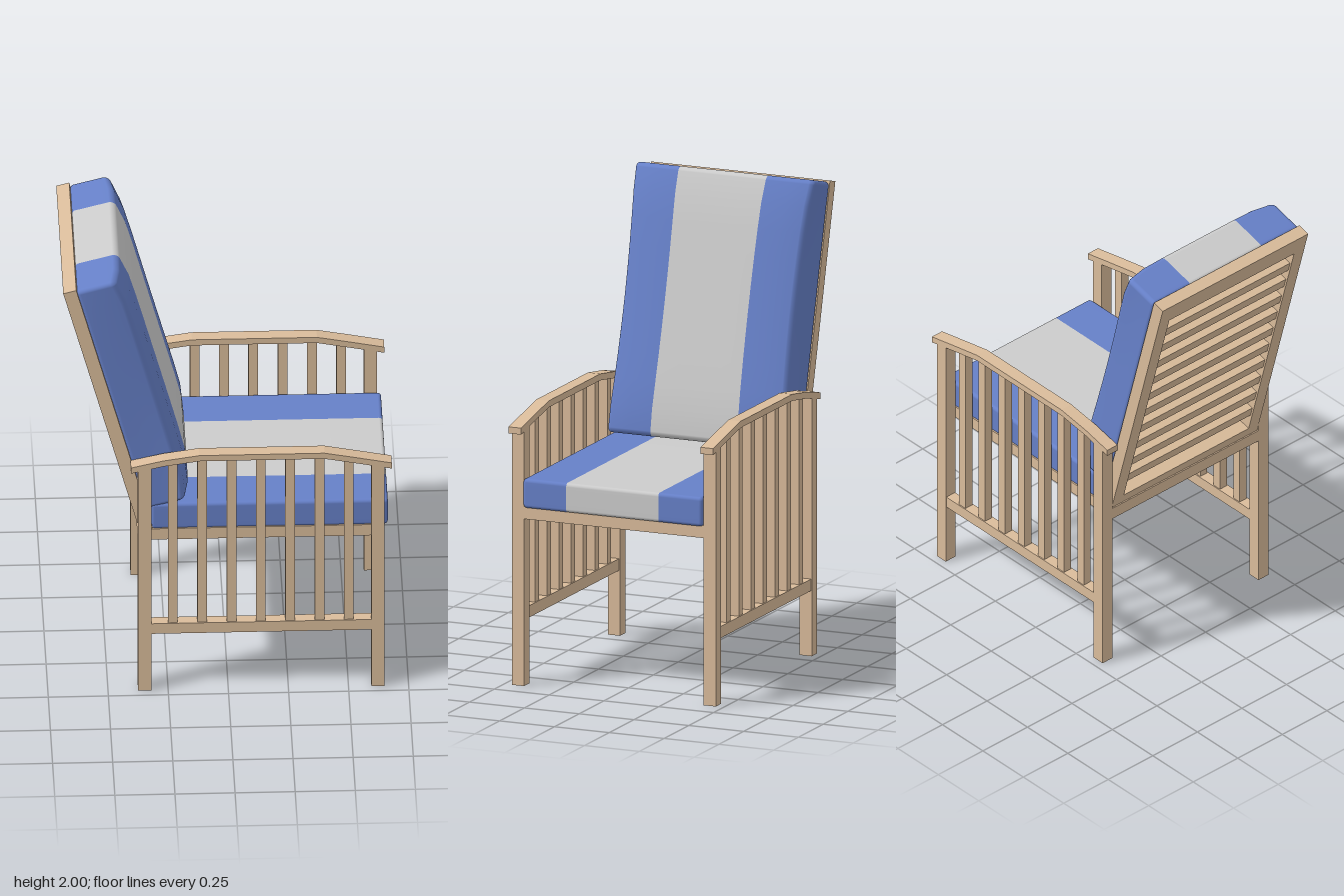
import * as THREE from 'three';
import { mergeVertices } from 'three/addons/utils/BufferGeometryUtils.js';

const wood = new THREE.MeshStandardMaterial({ color: 0xdabc9b });
const blue = new THREE.MeshStandardMaterial({ color: 0x6680c8 });
const grey = new THREE.MeshStandardMaterial({ color: 0xcccccc });

// Wooden bar given by its extents on each axis
function bar(parent, name, [x0, x1], [y0, y1], [z0, z1]) {
  const mesh = new THREE.Mesh(new THREE.BoxGeometry(x1 - x0, y1 - y0, z1 - z0), wood);
  mesh.position.set((x0 + x1) / 2, (y0 + y1) / 2, (z0 + z1) / 2);
  mesh.name = name;
  parent.add(mesh);
}

// Grid lines from -h to h: dense in the rounded edge, plus inner ones
function ticks(h, r, inner) {
  const edge = [0, 15, 30, 45].map(a => h - r + r * Math.tan(a * Math.PI / 180));
  const half = [...inner, ...edge];
  return [...half.map(v => -v).reverse(), 0, ...half];
}

// Rounded cushion with a grey middle stripe; warp bends its points
function cushion(name, half, r, stripe, warp = () => {}) {
  const steps = [0.2, 0.4, 0.6, 0.8];
  const grid = [
    ticks(half.x, r, [half.x * 0.4]),
    ticks(half.y, r, half.y > 0.2 ? steps.map(s => s * half.y) : [half.y * 0.4]),
    ticks(half.z, r, [stripe / 2, stripe, (stripe + half.z) / 2]),
  ];
  const n = grid.map(g => g.length - 1);
  let geo = new THREE.BoxGeometry(1, 1, 1, ...n);
  geo.deleteAttribute('uv');
  geo.deleteAttribute('normal');
  const pos = geo.attributes.position;
  const p = new THREE.Vector3(), core = new THREE.Vector3();
  const limit = half.clone().subScalar(r);
  const low = limit.clone().negate();
  for (let i = 0; i < pos.count; i++) {
    p.fromBufferAttribute(pos, i);
    p.fromArray(p.toArray().map((v, k) => grid[k][Math.round((v + 0.5) * n[k])]));
    core.copy(p).clamp(low, limit);
    p.sub(core).setLength(r).add(core);
    pos.setXYZ(i, p.x, p.y, p.z);
  }
  geo = mergeVertices(geo, 1e-5);

  // Sort the faces into stripes before bending
  const at = geo.attributes.position, index = geo.index.array;
  const faces = { middle: [], sides: [] };
  for (let i = 0; i < index.length; i += 3) {
    const tri = [index[i], index[i + 1], index[i + 2]];
    const z = tri.reduce((s, v) => s + at.getZ(v), 0) / 3;
    faces[Math.abs(z) < stripe ? 'middle' : 'sides'].push(...tri);
  }
  for (let i = 0; i < at.count; i++) {
    p.fromBufferAttribute(at, i);
    warp(p);
    at.setXYZ(i, p.x, p.y, p.z);
  }
  geo.computeVertexNormals();

  const group = new THREE.Group();
  group.name = name;
  for (const [part, material] of [['middle', grey], ['sides', blue]]) {
    const g = new THREE.BufferGeometry();
    g.setAttribute('position', geo.attributes.position);
    g.setAttribute('normal', geo.attributes.normal);
    g.setIndex(faces[part]);
    const mesh = new THREE.Mesh(g, material);
    mesh.name = `${name} ${part}`;
    group.add(mesh);
  }
  return group;
}

// Top line of the armrest
const armPoints = [[-0.405, 1.11], [-0.27, 1.142], [-0.12, 1.165], [0.40, 1.165], [0.54, 1.138], [0.68, 1.11]];
const armThick = 0.028;
function armTop(x) {
  for (let i = 1; i < armPoints.length; i++) {
    const [x0, y0] = armPoints[i - 1], [x1, y1] = armPoints[i];
    if (x <= x1) return y0 + (y1 - y0) * (x - x0) / (x1 - x0);
  }
  return armPoints.at(-1)[1];
}

function side(s) {
  const group = new THREE.Group();
  group.name = s > 0 ? 'leftSide' : 'rightSide';
  const zs = (a, b) => (s > 0 ? [a, b] : [-b, -a]);

  // Legs and lower rail
  for (const [name, x] of [['backLeg', -0.375], ['frontLeg', 0.595]])
    bar(group, name, [x, x + 0.055], [0, armTop(x + 0.0275) - 0.02], zs(0.41, 0.465));
  bar(group, 'lowerRail', [-0.32, 0.595], [0.28, 0.33], zs(0.413, 0.462));

  // Upright slats
  for (let i = 0; i < 7; i++) {
    const x = -0.23 + i * 0.122;
    bar(group, 'sideSlat', [x - 0.02, x + 0.02], [0.33, armTop(x) - 0.02], zs(0.418, 0.457));
  }

  // Bent armrest
  const under = armPoints.map(([x, y]) => [x, y - armThick]).reverse();
  const shape = new THREE.Shape([...armPoints, ...under].map(q => new THREE.Vector2(...q)));
  const arm = new THREE.Mesh(new THREE.ExtrudeGeometry(shape, { depth: 0.057, bevelEnabled: false }), wood);
  arm.position.z = s > 0 ? 0.409 : -0.466;
  arm.name = 'armrest';
  group.add(arm);
  return group;
}

export function createModel() {
  const chair = new THREE.Group();
  chair.name = 'armchair';
  chair.add(side(1), side(-1));

  // Seat frame
  const seatY = [0.715, 0.768];
  bar(chair, 'frontSeatRail', [0.595, 0.65], seatY, [-0.41, 0.41]);
  bar(chair, 'backSeatRail', [-0.375, -0.32], seatY, [-0.41, 0.41]);
  for (const z of [[0.37, 0.41], [-0.41, -0.37]]) bar(chair, 'sideSeatRail', [-0.32, 0.595], seatY, z);

  // Reclined back frame
  const tilt = THREE.MathUtils.degToRad(15);
  const back = new THREE.Group();
  back.name = 'backFrame';
  back.position.set(-0.339, 0.765, 0);
  back.rotation.z = tilt;
  for (const z of [[0.35, 0.408], [-0.408, -0.35]]) bar(back, 'backPost', [-0.028, 0.028], [0, 1.23], z);
  bar(back, 'topRail', [-0.028, 0.028], [1.14, 1.23], [-0.35, 0.35]);
  bar(back, 'bottomRail', [-0.028, 0.028], [0, 0.055], [-0.35, 0.35]);
  for (let i = 0; i < 10; i++) {
    const y = 0.13 + i * 0.1;
    bar(back, 'backSlat', [-0.02, 0.02], [y, y + 0.045], [-0.35, 0.35]);
  }
  chair.add(back);

  // Seat cushion
  const seat = cushion('seatCushion', new THREE.Vector3(0.493, 0.0625, 0.409), 0.015, 0.21);
  seat.position.set(0.173, 0.8275, 0);
  chair.add(seat);

  // Back cushion: waisted sides and soft front edges
  const half = new THREE.Vector3(0.103, 0.565, 0.409);
  const rest = cushion('backCushion', half, 0.02, 0.2, p => {
    const front = (p.x / half.x + 1) / 2;
    const v = p.y / half.y, w = p.z / half.z;
    p.x -= front * (0.025 * v ** 10 + 0.025 * w ** 8);
    p.z *= 1 - 0.05 * front * (1 - v * v);
  });
  rest.position.set(-0.385, 1.435, 0);
  rest.rotation.z = tilt;
  chair.add(rest);
  return chair;
}
